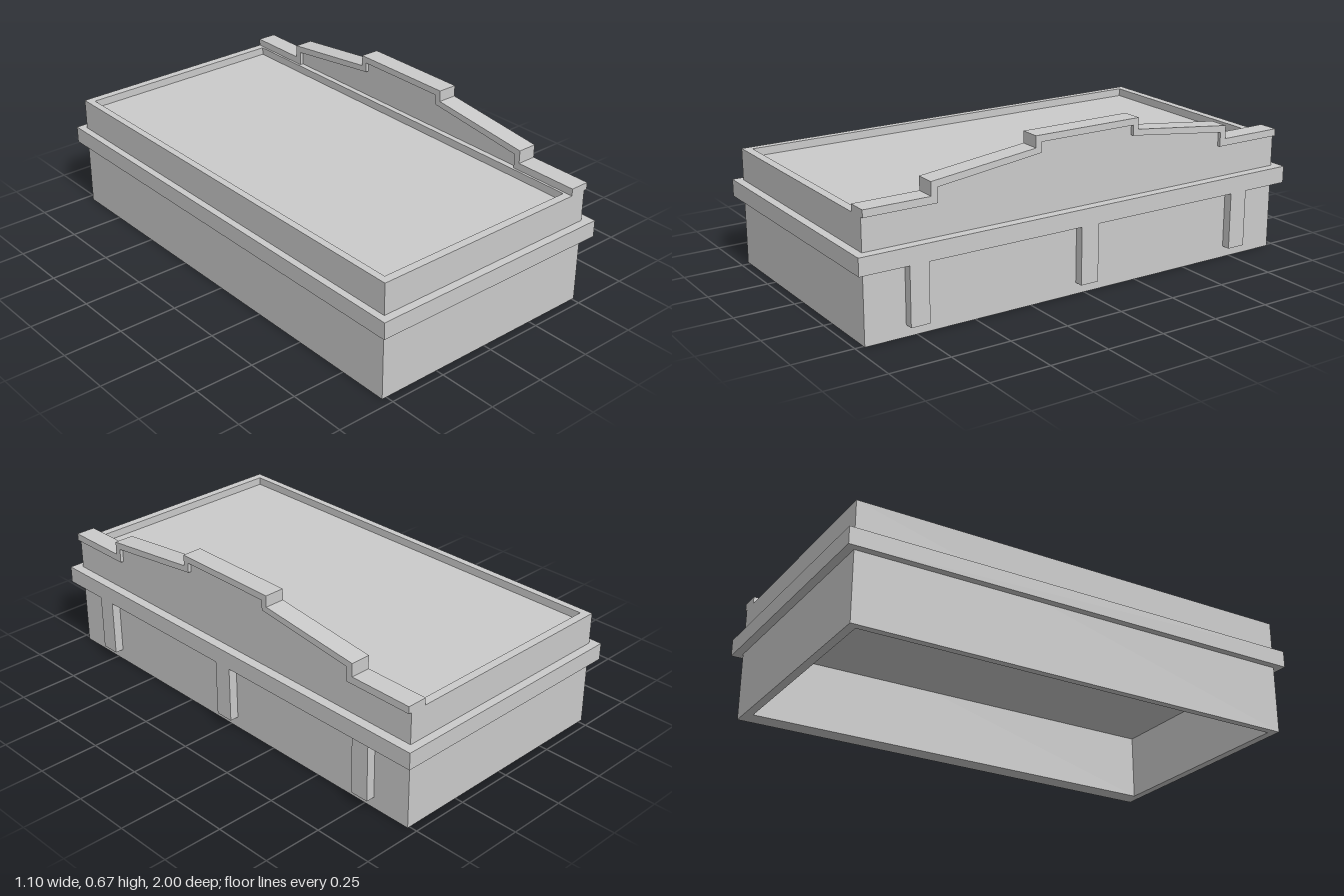
import * as THREE from 'three';

const material = new THREE.MeshStandardMaterial({ color: 0xcccccc, flatShading: true });

function add(group, name, geometry) {
  const mesh = new THREE.Mesh(geometry, material);
  mesh.name = name;
  group.add(mesh);
}

// Box given by its limits on each axis
function box(x0, x1, y0, y1, z0, z1) {
  return new THREE.BoxGeometry(x1 - x0, y1 - y0, z1 - z0)
    .translate((x0 + x1) / 2, (y0 + y1) / 2, (z0 + z1) / 2);
}

// Extrude a (z, y) outline from x0 to x1
function slab(points, x0, x1) {
  const shape = new THREE.Shape(points.map(([z, y]) => new THREE.Vector2(z, y)));
  return new THREE.ExtrudeGeometry(shape, { depth: x1 - x0, bevelEnabled: false })
    .rotateY(-Math.PI / 2)
    .translate(x1, 0, 0);
}

const rectangle = (x0, x1, z) => [[x0, -z], [x1, -z], [x1, z], [x0, z]]
  .map(([x, y]) => new THREE.Vector2(x, y));

const mirrored = (half) => [...half, ...half.map(([z, y]) => [-z, y]).reverse()];

export function createModel() {
  const model = new THREE.Group();
  model.name = 'building';

  // Outer walls, open below, rising past the roof as a low rim
  const plan = new THREE.Shape(rectangle(-0.52, 0.51, 0.965));
  plan.holes.push(new THREE.Path(rectangle(-0.49, 0.43, 0.93).reverse()));
  add(model, 'walls', new THREE.ExtrudeGeometry(plan, { depth: 0.49, bevelEnabled: false })
    .rotateX(-Math.PI / 2));

  // Roof deck and ceiling
  add(model, 'roof', box(-0.49, 0.43, 0.28, 0.457, -0.93, 0.93));

  // Projecting band around the building
  add(model, 'band', box(-0.55, 0.55, 0.287, 0.358, -1, 1));

  // Stepped parapet on the street side, with a coping that follows it
  const under = [[0.965, 0.49], [0.663, 0.49], [0.663, 0.55], [0.215, 0.605], [0.215, 0.647]];
  const over = [[0.965, 0.52], [0.69, 0.52], [0.69, 0.575], [0.24, 0.627], [0.24, 0.674]];
  add(model, 'parapet', slab(mirrored(under), 0.455, 0.51));
  add(model, 'coping', slab([...mirrored(over), ...mirrored(under).reverse()], 0.44, 0.524));

  // Pilasters hanging below the band
  for (const z of [-0.755, 0, 0.755]) {
    add(model, 'pilaster', box(0.5, 0.547, 0.047, 0.29, z - 0.04, z + 0.04));
  }

  return model;
}
